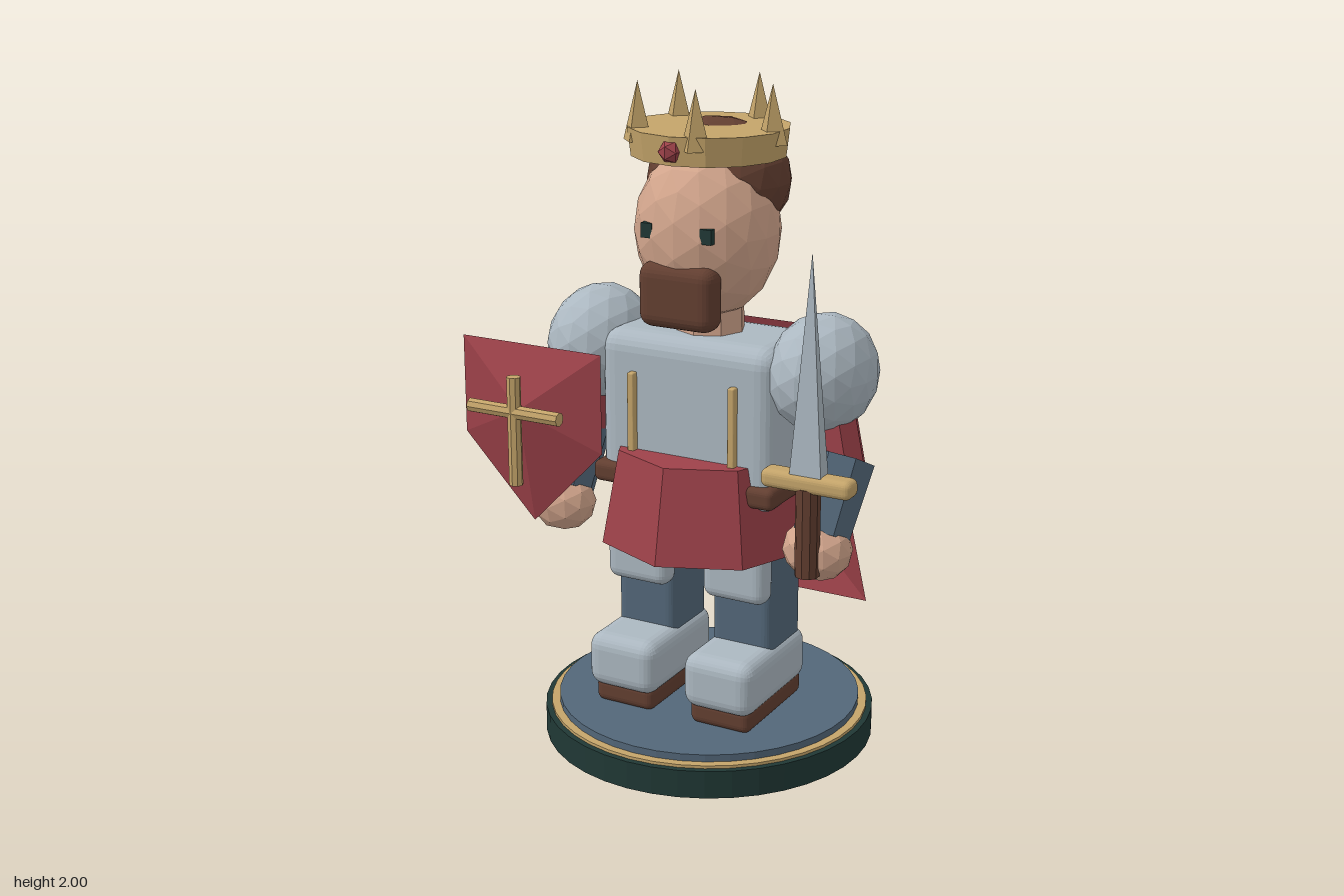
import * as THREE from 'three';
import { RoundedBoxGeometry } from 'three/addons/geometries/RoundedBoxGeometry.js';

const CX = 0.05; // the figure's own centre line

function mat(name, color, flat = true, side = THREE.FrontSide) {
  const m = new THREE.MeshStandardMaterial({ color, flatShading: flat, side });
  m.name = name;
  return m;
}

export function createModel() {
  const root = new THREE.Group();
  root.name = 'knightKing';

  const steel = mat('steel', 0xacb8c1);
  const red = mat('redCloth', 0x9e424a, true, THREE.DoubleSide);
  const gold = mat('gold', 0xc4a46a);
  const blue = mat('slateBlue', 0x536779);
  const brown = mat('brown', 0x633f31);
  const skin = mat('skin', 0xd2a58c);
  const dark = mat('darkGreen', 0x203835);

  function add(name, geo, material, x = 0, y = 0, z = 0) {
    const m = new THREE.Mesh(geo, material);
    m.name = name;
    m.position.set(x, y, z);
    root.add(m);
    return m;
  }
  const rbox = (w, h, d, r) => new RoundedBoxGeometry(w, h, d, 3, r);
  const cyl = (rt, rb, h, n) => new THREE.CylinderGeometry(rt, rb, h, n);
  const ball = (rx, ry, rz, detail = 2) =>
    new THREE.IcosahedronGeometry(1, detail).scale(rx, ry, rz);

  // Tapered limb between two points
  function limb(name, a, b, ra, rb, material) {
    const p = new THREE.Vector3(...a), q = new THREE.Vector3(...b);
    const dir = p.clone().sub(q);
    const m = add(name, cyl(ra, rb, dir.length(), 8), material);
    m.position.copy(p).add(q).multiplyScalar(0.5);
    m.quaternion.setFromUnitVectors(new THREE.Vector3(0, 1, 0), dir.normalize());
    return m;
  }

  // Open faceted sheet: triangles from one apex to a ring of corners
  function fan(apex, ring) {
    const pos = [];
    ring.forEach((p, i) => pos.push(...apex, ...p, ...ring[(i + 1) % ring.length]));
    const g = new THREE.BufferGeometry();
    g.setAttribute('position', new THREE.Float32BufferAttribute(pos, 3));
    g.computeVertexNormals();
    return g;
  }

  // Round stand
  add('standBase', cyl(0.505, 0.505, 0.086, 40), dark, CX, 0.043, 0);
  add('standTrim', cyl(0.487, 0.487, 0.02, 40), gold, CX, 0.085, 0);
  add('standTop', cyl(0.462, 0.462, 0.04, 40), blue, CX, 0.097, 0);

  // Legs and arms, mirrored about the centre line
  for (const s of [-1, 1]) {
    const side = s > 0 ? 'left' : 'right';
    const legX = CX + s * 0.163;
    add(side + 'Sole', rbox(0.2, 0.08, 0.36, 0.025), brown, legX, 0.155, 0.066);
    add(side + 'Boot', rbox(0.232, 0.17, 0.39, 0.045), steel, legX, 0.257, 0.076);
    add(side + 'Leg', rbox(0.2, 0.44, 0.21, 0.03), blue, legX, 0.5, 0.002);
    add(side + 'KneePlate', rbox(0.21, 0.2, 0.08, 0.035), steel, legX, 0.59, 0.127);

    const ax = (d) => CX + s * d;
    add(side + 'Shoulder', ball(0.155, 0.175, 0.195), steel, ax(0.37), 1.185, 0);
    limb(side + 'Sleeve', [ax(0.37), 1.15, 0], [ax(0.43), 0.9, 0.025], 0.085, 0.09, red);
    limb(side + 'Bracer', [ax(0.44), 0.94, 0.015], [ax(0.432), 0.74, 0.125], 0.104, 0.088, blue);
    add(side + 'Hand', ball(0.105, 0.093, 0.092, 1), skin, ax(0.43), 0.705, 0.145);
    add(side + 'ChestStrip', rbox(0.022, 0.28, 0.03, 0.005), gold, ax(0.166), 1.015, 0.17);
  }

  // Body
  add('torso', rbox(0.58, 0.5, 0.325, 0.06), steel, CX, 1.02, 0);
  add('belt', rbox(0.6, 0.065, 0.365, 0.02), brown, CX, 0.833, 0);
  add('skirt', cyl(0.28, 0.333, 0.285, 8), red, CX, 0.775, 0);
  add('neck', cyl(0.1, 0.105, 0.16, 8), skin, CX, 1.32, -0.005);

  // Head
  add('head', ball(0.215, 0.26, 0.21), skin, CX, 1.57, 0.013);
  add('hair', ball(0.217, 0.182, 0.19), brown, CX, 1.705, -0.055);
  add('beard', rbox(0.245, 0.19, 0.095, 0.04), brown, CX, 1.405, 0.178);
  for (const s of [-1, 1]) {
    add(s > 0 ? 'leftEye' : 'rightEye', new THREE.BoxGeometry(0.036, 0.043, 0.03),
      dark, CX + s * 0.095, 1.59, 0.19);
  }

  // Crown with five points and a gem
  add('crownBand', cyl(0.236, 0.226, 0.083, 14), gold, CX, 1.828, 0.007);
  for (let i = 0; i < 5; i++) {
    const a = (i * Math.PI * 2) / 5;
    add('crownPoint', new THREE.ConeGeometry(0.047, 0.17, 4), gold,
      CX + 0.203 * Math.cos(a), 1.915, 0.01 + 0.203 * Math.sin(a));
  }
  add('crownGem', ball(0.034, 0.034, 0.034, 0), red, CX, 1.827, 0.235);

  // Cape, pushed out at the middle
  add('cape', fan([CX, 0.69, -0.405], [
    [CX - 0.245, 1.265, -0.193], [CX + 0.245, 1.265, -0.193],
    [CX + 0.378, 0.36, -0.328], [CX - 0.378, 0.36, -0.328],
  ]), red);

  // Sword in the left hand
  const bladeGeo = new THREE.ConeGeometry(Math.SQRT1_2, 0.65, 4).rotateY(Math.PI / 4);
  add('blade', bladeGeo.scale(0.1, 1, 0.05), steel, 0.485, 1.265, 0.224);
  add('crossguard', rbox(0.28, 0.055, 0.07, 0.02), gold, 0.485, 0.932, 0.222);
  add('grip', cyl(0.036, 0.036, 0.265, 10), brown, 0.485, 0.785, 0.224);

  // Shield on the right arm, with a raised cross
  const sx = -0.388;
  add('shield', fan([sx, 1.05, 0.365], [
    [sx - 0.238, 1.23, 0.29], [sx - 0.238, 0.93, 0.29], [sx, 0.685, 0.29],
    [sx + 0.238, 0.93, 0.29], [sx + 0.238, 1.23, 0.29],
  ]), red);
  add('shieldCrossUpright', cyl(0.021, 0.021, 0.33, 8), gold, sx, 0.992, 0.385);
  add('shieldCrossBar', cyl(0.021, 0.021, 0.31, 8).rotateZ(Math.PI / 2), gold, sx, 1.05, 0.385);

  return root;
}
